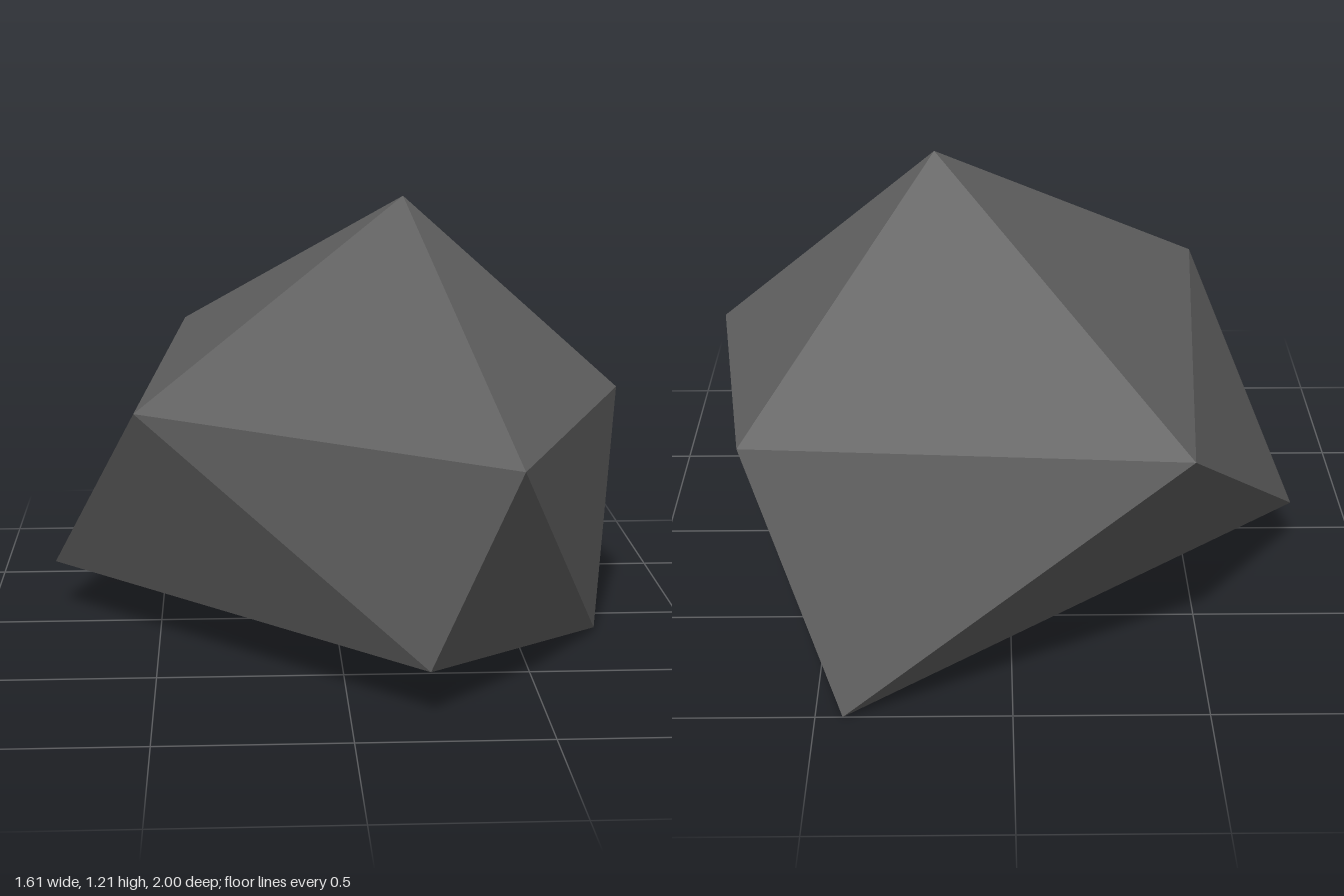
import * as THREE from 'three';

// Corners of the boulder: peak, shoulder ring, foot ring
const corners = [
  0.20, 1.21, -0.12, // 0 peak
  -0.55, 0.71, 0.45, // 1 shoulder, front right
  0.41, 0.68, 1.00, // 2 shoulder, front
  0.80, 0.68, 0.02, // 3 shoulder, left
  0.68, 0.68, -0.85, // 4 shoulder, back left
  -0.44, 0.71, -1.00, // 5 shoulder, back right
  -0.81, 0.145, -0.12, // 6 foot, right
  0.20, 0.13, 0.86, // 7 foot, front
  0.73, 0.01, 0.16, // 8 foot, left
  0.43, 0.00, -1.00, // 9 foot, back
];

export function createModel() {
  const group = new THREE.Group();
  group.name = 'boulder';

  const faces = [];
  // Crown: a fan from the peak to the shoulder ring
  for (let i = 0; i < 5; i++) faces.push(0, 1 + i, 1 + ((i + 1) % 5));
  // Sides: shoulder ring down to foot ring
  faces.push(1, 6, 7, 1, 7, 2, 2, 7, 8, 2, 8, 3, 3, 8, 9);
  faces.push(3, 9, 4, 4, 9, 5, 5, 9, 6, 5, 6, 1);
  // Underside
  faces.push(6, 8, 7, 6, 9, 8);

  const indexed = new THREE.BufferGeometry();
  indexed.setAttribute('position', new THREE.Float32BufferAttribute(corners, 3));
  indexed.setIndex(faces);
  const geometry = indexed.toNonIndexed(); // one flat normal per facet
  geometry.computeVertexNormals();

  const stone = new THREE.MeshStandardMaterial({ color: 0x606060 });
  stone.name = 'dark grey stone';
  stone.flatShading = true;

  const rock = new THREE.Mesh(geometry, stone);
  rock.name = 'rock';
  group.add(rock);
  return group;
}
